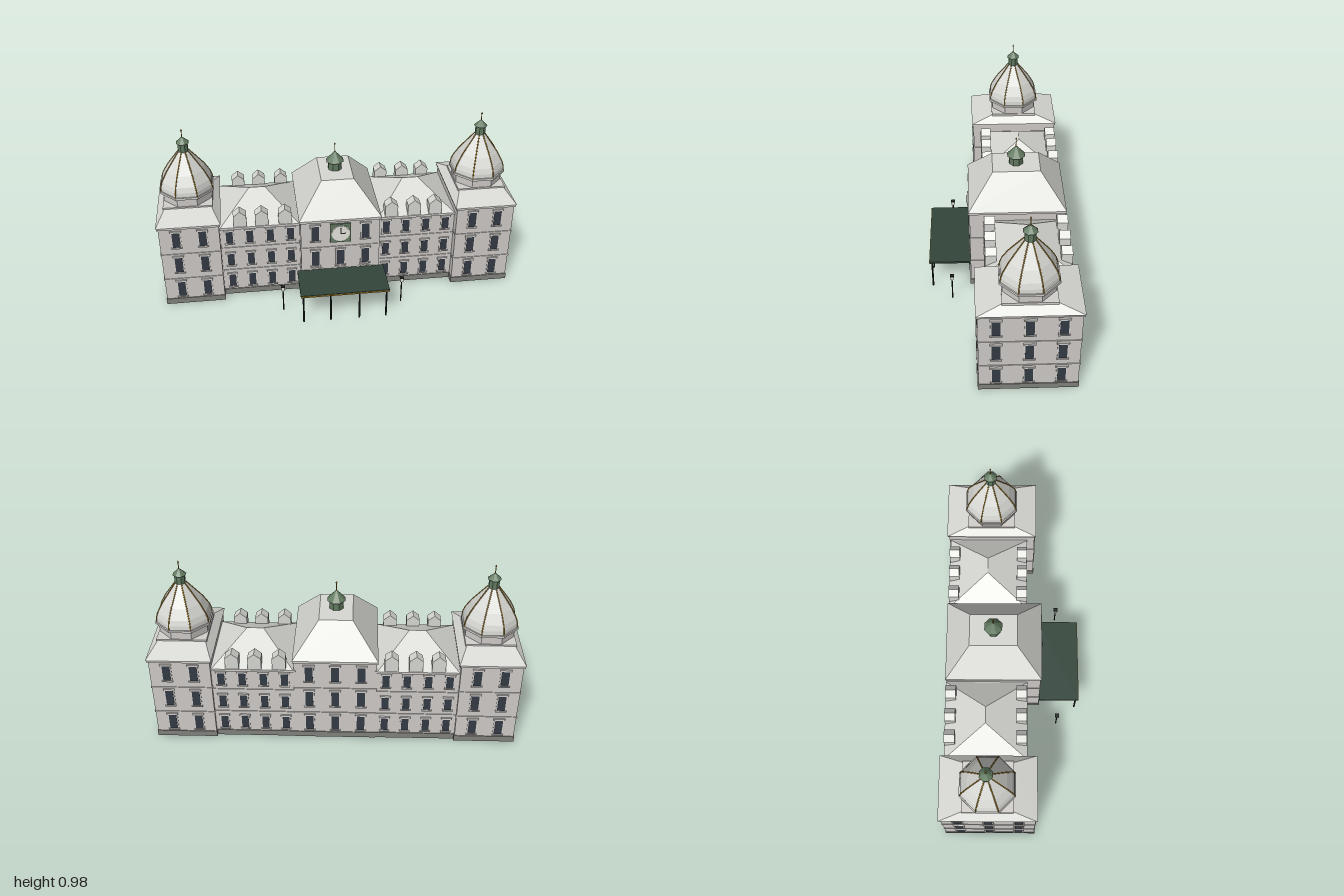
import * as THREE from 'three';

const mat = (name, color) => {
  const m = new THREE.MeshStandardMaterial({ color });
  m.name = name;
  return m;
};

export function createModel() {
  const M = {
    wall: mat('pale stone wall', 0xcfcbc8),
    trim: mat('light stone trim', 0xd4d1cd),
    roof: mat('light roof', 0xd8d8d4),
    base: mat('grey plinth', 0x82827e),
    glass: mat('dark glass', 0x343b45),
    green: mat('copper green', 0x627a60),
    canopy: mat('dark green canopy', 0x33463c),
    gold: mat('gold', 0xa9822a),
    black: mat('black iron', 0x1e2322),
    white: mat('clock white', 0xe8e8e0),
  };
  const root = new THREE.Group();
  root.name = 'palaceBuilding';

  const group = (parent, name, x = 0, y = 0, z = 0, ry = 0) => {
    const g = new THREE.Group();
    g.name = name;
    g.position.set(x, y, z);
    g.rotation.y = ry;
    parent.add(g);
    return g;
  };
  const add = (parent, name, geo, m, x = 0, y = 0, z = 0) => {
    const mesh = new THREE.Mesh(geo, m);
    mesh.name = name;
    mesh.position.set(x, y, z);
    parent.add(mesh);
    return mesh;
  };
  // Box standing on height y0
  const box = (p, name, m, w, h, d, x, y0, z) =>
    add(p, name, new THREE.BoxGeometry(w, h, d), m, x, y0 + h / 2, z);
  const flat = (g) => {
    const n = g.toNonIndexed();
    n.computeVertexNormals();
    return n;
  };
  // Octagonal prism or cone with flats facing the axes
  const oct = (p, name, m, r0, r1, h, x, y0, z) =>
    add(p, name, flat(new THREE.CylinderGeometry(r1, r0, h, 8, 1, false, Math.PI / 8)), m, x, y0 + h / 2, z);
  // Hipped roof: a box whose top is drawn in
  const hip = (p, name, w, d, tw, td, h, x, y0, z) => {
    const g = new THREE.BoxGeometry(w, h, d);
    const a = g.attributes.position;
    for (let i = 0; i < a.count; i++) {
      if (a.getY(i) > 0) {
        a.setX(i, Math.sign(a.getX(i)) * tw / 2);
        a.setZ(i, Math.sign(a.getZ(i)) * td / 2);
      }
    }
    g.computeVertexNormals();
    return add(p, name, g, M.roof, x, y0 + h / 2, z);
  };

  // Window with surround, lintel and sill, on a facade facing local +z
  const windowAt = (f, x, y, w, h) => {
    const g = group(f, 'window', x, y, 0);
    box(g, 'windowSurround', M.trim, w + 0.012, h, 0.008, 0, 0, 0);
    box(g, 'windowGlass', M.glass, w, h - 0.004, 0.004, 0, 0.002, 0.004);
    box(g, 'windowLintel', M.trim, w + 0.02, 0.01, 0.018, 0, h, 0);
    box(g, 'windowSill', M.trim, w + 0.018, 0.008, 0.016, 0, -0.008, 0);
  };
  const windowGrid = (f, xs, floors, w, skip = () => false) =>
    floors.forEach(([y, h], i) => xs.forEach((x) => { if (!skip(x, i)) windowAt(f, x, y, w, h); }));

  // Walls with plinth, string courses and cornice
  const block = (p, name, w, d, top, x, z, bands) => {
    const g = group(p, name, x, 0, z);
    box(g, 'plinth', M.base, w + 0.008, 0.035, d + 0.008, 0, 0, 0);
    box(g, 'walls', M.wall, w, top - 0.035, d, 0, 0.035, 0);
    bands.forEach((y) => box(g, 'stringCourse', M.trim, w + 0.008, 0.008, d + 0.008, 0, y, 0));
    box(g, 'cornice', M.trim, w + 0.014, 0.014, d + 0.014, 0, top - 0.014, 0);
    return g;
  };
  const spire = (p, x, y0, z, h) => {
    add(p, 'spireRod', new THREE.CylinderGeometry(0.0018, 0.003, h, 6), M.gold, x, y0 + h / 2, z);
    add(p, 'spireBall', new THREE.SphereGeometry(0.005, 8, 6), M.gold, x, y0 + h - 0.008, z);
  };

  const tall = [[0.053, 0.1], [0.22, 0.1], [0.388, 0.098]];
  const low = [[0.055, 0.085], [0.205, 0.08], [0.355, 0.08]];

  // Ribbed octagonal dome
  const domePts = [[0.152, 0.635], [0.15, 0.66], [0.14, 0.69], [0.109, 0.744], [0.064, 0.804], [0.029, 0.85]]
    .map(([r, y]) => new THREE.Vector2(r, y));
  const dome = (p) => {
    const g = group(p, 'domeTower');
    box(g, 'domePlinth', M.trim, 0.27, 0.042, 0.27, 0, 0.53, 0);
    oct(g, 'drum', M.wall, 0.141, 0.141, 0.055, 0, 0.57, 0);
    oct(g, 'drumCornice', M.trim, 0.159, 0.159, 0.013, 0, 0.623, 0);
    add(g, 'domeShell', flat(new THREE.LatheGeometry(domePts, 8, Math.PI / 8)), M.roof);
    for (let i = 0; i < 8; i++) {
      const a = Math.PI / 8 + i * Math.PI / 4;
      const path = new THREE.CurvePath();
      const at = (v) => new THREE.Vector3(v.x * Math.sin(a), v.y, v.x * Math.cos(a));
      for (let k = 1; k < domePts.length; k++) path.add(new THREE.LineCurve3(at(domePts[k - 1]), at(domePts[k])));
      add(g, 'domeRib', new THREE.TubeGeometry(path, 20, 0.0035, 5), M.gold);
    }
    oct(g, 'lantern', M.green, 0.029, 0.029, 0.052, 0, 0.848, 0);
    oct(g, 'lanternRoof', M.green, 0.037, 0.004, 0.032, 0, 0.9, 0);
    spire(g, 0, 0.925, 0, 0.055);
  };

  // Gabled dormer
  const dormerShape = new THREE.Shape();
  [[-0.036, 0], [0.036, 0], [0.036, 0.075], [0, 0.105], [-0.036, 0.075]].forEach(([x, y], i) =>
    i ? dormerShape.lineTo(x, y) : dormerShape.moveTo(x, y));
  const dormerGeo = new THREE.ExtrudeGeometry(dormerShape, { depth: 0.058, bevelEnabled: false });

  for (const s of [-1, 1]) {
    // End pavilions
    const pav = block(root, 'endPavilion', 0.326, 0.502, 0.522, s * 0.825, -0.127, [0.168, 0.336]);
    for (const [ry, d] of [[0, 0.251], [Math.PI, 0.251]]) {
      const f = group(pav, 'pavilionFacade', 0, 0, ry ? -d : d, ry);
      windowGrid(f, [-0.072, 0.072], tall, 0.042);
    }
    const side = group(pav, 'pavilionSide', s * 0.163, 0, 0, s * Math.PI / 2);
    windowGrid(side, [-0.163, 0, 0.163], tall, 0.042);
    hip(pav, 'pavilionRoof', 0.348, 0.522, 0.25, 0.25, 0.045, 0, 0.522, 0);
    dome(pav);

    // Linking wings
    const wing = block(root, 'wing', 0.445, 0.435, 0.462, s * 0.441, -0.145, [0.165, 0.318]);
    for (const dir of [1, -1]) {
      const f = group(wing, 'wingFacade', 0, 0, dir * 0.2175, dir > 0 ? 0 : Math.PI);
      windowGrid(f, [-0.17, -0.057, 0.057, 0.17], low, 0.038);
      for (const x of [0.298, 0.427, 0.547]) {
        add(f, 'dormer', dormerGeo, M.roof, dir * s * (x - 0.441), 0.455, -0.052);
      }
    }
    hip(wing, 'wingRoof', 0.435, 0.452, 0.09, 0.001, 0.115, 0, 0.462, 0);

    // Lamp posts
    const lamp = group(root, 'lampPost', s * 0.335, 0, 0.26);
    add(lamp, 'lampPole', new THREE.CylinderGeometry(0.0035, 0.0035, 0.145, 8), M.black, 0, 0.0725, 0);
    box(lamp, 'lampGlass', M.white, 0.018, 0.024, 0.018, 0, 0.143, 0);
    box(lamp, 'lampCap', M.black, 0.022, 0.005, 0.022, 0, 0.166, 0);
  }

  // Central block
  const mid = block(root, 'centralBlock', 0.44, 0.52, 0.522, 0, -0.105, [0.168, 0.336]);
  hip(mid, 'centralRoof', 0.456, 0.534, 0.18, 0.26, 0.173, 0, 0.522, 0);
  const back = group(mid, 'centralBack', 0, 0, -0.26, Math.PI);
  windowGrid(back, [-0.14, 0, 0.14], tall, 0.042);
  const front = group(mid, 'centralFront', 0, 0, 0.26);
  windowGrid(front, [-0.14, 0, 0.14], tall, 0.042, (x, i) => i === 0 || (i === 2 && x === 0));

  // Entrance bays with arched mouldings
  for (const x of [-0.135, 0, 0.135]) {
    const w = x ? 0.05 : 0.056;
    if (!x) box(front, 'doorFrame', M.black, 0.084, 0.118, 0.006, 0, 0.036, 0.001);
    box(front, 'doorSurround', M.trim, w + 0.014, 0.108, 0.008, x, 0.04, 0.002);
    box(front, 'doorGlass', M.glass, w, 0.1, 0.004, x, 0.044, 0.006);
    add(front, 'archMoulding', new THREE.TorusGeometry(0.05, 0.005, 6, 20, Math.PI), M.trim, x, 0.155, 0.002);
    box(front, 'doorMullion', M.trim, 0.003, 0.1, 0.003, x, 0.044, 0.008);
  }

  // Clock
  const clock = group(front, 'clock', 0, 0.435, 0.002);
  add(clock, 'clockPanel', new THREE.BoxGeometry(0.116, 0.122, 0.012), M.green);
  const disc = (name, r, m, z) =>
    add(clock, name, new THREE.CylinderGeometry(r, r, 0.004, 32).rotateX(Math.PI / 2), m, 0, 0, z);
  disc('clockRim', 0.052, M.trim, 0.007);
  disc('clockFace', 0.048, M.white, 0.009);
  add(clock, 'minuteHand', new THREE.BoxGeometry(0.005, 0.038, 0.003), M.black, 0, 0.017, 0.012);
  add(clock, 'hourHand', new THREE.BoxGeometry(0.028, 0.006, 0.003), M.black, 0.012, 0, 0.012);

  // Cupola on the central roof
  oct(mid, 'cupola', M.green, 0.04, 0.04, 0.055, 0, 0.693, 0);
  oct(mid, 'cupolaRoof', M.green, 0.052, 0.004, 0.055, 0, 0.745, 0);
  spire(mid, 0, 0.795, 0, 0.06);

  // Entrance canopy
  const canopy = group(root, 'canopy');
  box(canopy, 'canopyRoof', M.canopy, 0.49, 0.012, 0.23, 0, 0.178, 0.27);
  box(canopy, 'canopyGoldFront', M.gold, 0.49, 0.008, 0.004, 0, 0.179, 0.386);
  for (const x of [-0.23, -0.08, 0.08, 0.23]) {
    add(canopy, 'canopyPost', new THREE.CylinderGeometry(0.005, 0.005, 0.18, 8), M.black, x, 0.09, 0.372);
  }
  return root;
}
